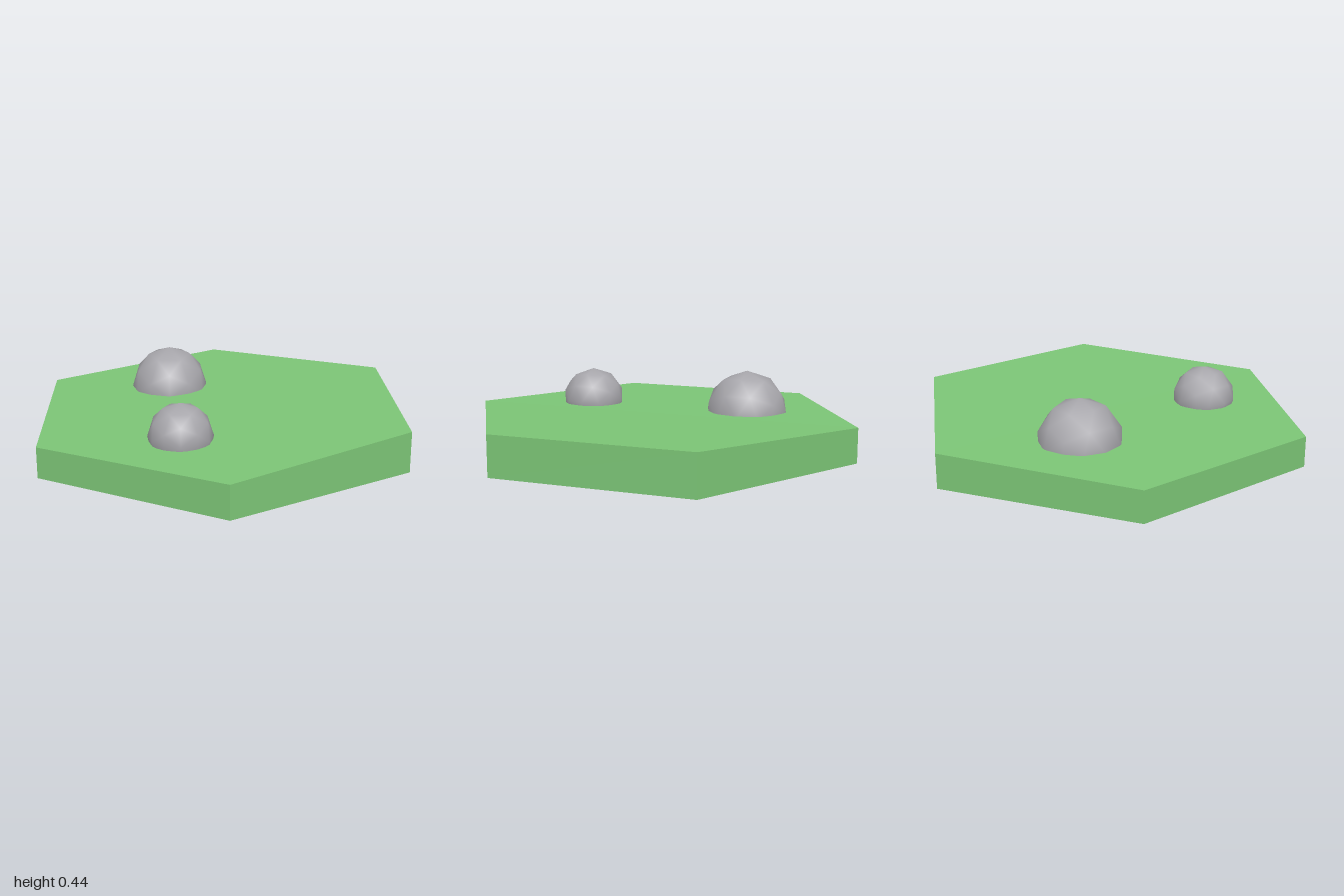
import * as THREE from 'three';

const BASE_Y = 0.07;

// Height of the gently sloping ground: steeper on the +x half, slightly higher at the back
function groundHeight(x, z) {
  return 0.239 + x * (x > 0 ? 0.04 : 0.017) - z * 0.004;
}

// Six-sided slab whose upper corners follow the slope
function makeTile() {
  const geometry = new THREE.CylinderGeometry(1, 1, 1, 6, 1);
  const pos = geometry.attributes.position;
  for (let i = 0; i < pos.count; i++) {
    const isTop = pos.getY(i) > 0;
    pos.setY(i, isTop ? groundHeight(pos.getX(i), pos.getZ(i)) : BASE_Y);
  }
  geometry.computeVertexNormals();
  const material = new THREE.MeshStandardMaterial({ color: 0x7cc576, flatShading: true });
  const tile = new THREE.Mesh(geometry, material);
  tile.name = 'groundTile';
  return tile;
}

// Rounded boulder, partly sunk into the slab
function makeRock(name, center, radii, material) {
  const rock = new THREE.Mesh(new THREE.IcosahedronGeometry(1, 1), material);
  rock.name = name;
  rock.position.set(...center);
  rock.scale.set(...radii);
  return rock;
}

export function createModel() {
  const model = new THREE.Group();
  model.name = 'hexTileWithRocks';

  const stone = new THREE.MeshStandardMaterial({ color: 0xa8a7ac });
  model.add(
    makeTile(),
    makeRock('largeRock', [-0.255, 0.22, -0.375], [0.2, 0.22, 0.21], stone),
    makeRock('smallRock', [-0.203, 0.253, 0.457], [0.155, 0.16, 0.16], stone)
  );
  return model;
}
